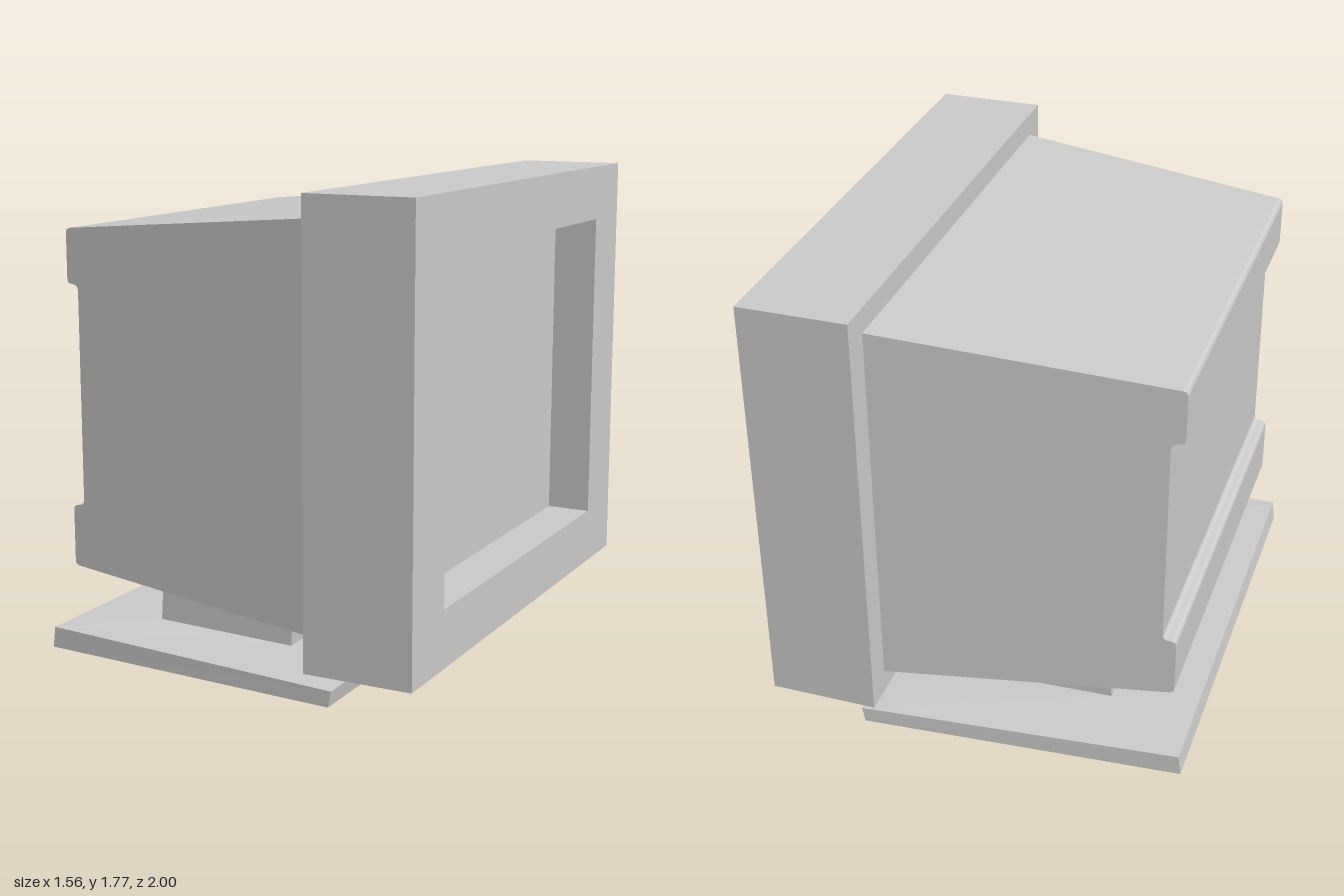
import * as THREE from 'three';

const material = new THREE.MeshStandardMaterial({ color: 0xcccccc, flatShading: true });

function addMesh(group, name, geometry) {
  const mesh = new THREE.Mesh(geometry, material);
  mesh.name = name;
  group.add(mesh);
  return mesh;
}

// Skin stacked four-cornered rings, bottom to top, each {back, front} = [x, y, half width]
function loftRings(rings) {
  const positions = [];
  const index = [];
  for (const { back, front } of rings) {
    for (const [[x, y, w], side] of [[back, 1], [front, 1], [front, -1], [back, -1]]) {
      positions.push(x, y, side * w);
    }
  }
  for (let r = 0; r < rings.length - 1; r++) {
    for (let i = 0; i < 4; i++) {
      const a = r * 4 + i;
      const b = r * 4 + ((i + 1) % 4);
      index.push(a, b, b + 4, a, b + 4, a + 4);
    }
  }
  const t = (rings.length - 1) * 4;
  index.push(0, 3, 2, 0, 2, 1, t, t + 1, t + 2, t, t + 2, t + 3);
  const geometry = new THREE.BufferGeometry();
  geometry.setAttribute('position', new THREE.Float32BufferAttribute(positions, 3));
  geometry.setIndex(index);
  const flat = geometry.toNonIndexed();
  flat.computeVertexNormals();
  return flat;
}

function rectangle(PathType, halfWidth, low, high) {
  return new PathType([
    [-halfWidth, low], [halfWidth, low], [halfWidth, high], [-halfWidth, high],
  ].map(([x, y]) => new THREE.Vector2(x, y)));
}

export function createModel() {
  const monitor = new THREE.Group();
  monitor.name = 'monitor';

  // Deep front frame with its screen opening, facing +x
  const frame = rectangle(THREE.Shape, 1, 0.13, 1.77);
  frame.holes.push(rectangle(THREE.Path, 0.74, 0.345, 1.56));
  const frameGeometry = new THREE.ExtrudeGeometry(frame, { depth: 0.41, bevelEnabled: false });
  frameGeometry.rotateY(Math.PI / 2);
  frameGeometry.translate(0.372, 0, 0);
  addMesh(monitor, 'screenFrame', frameGeometry);

  // Recessed flat screen
  const screenGeometry = new THREE.PlaneGeometry(1.48, 1.215);
  screenGeometry.rotateY(Math.PI / 2);
  addMesh(monitor, 'screen', screenGeometry).position.set(0.61, 0.9525, 0);

  // Rear housing: side profile with a shallow back recess, narrowed toward the back
  const profile = [
    [0.372, 0.22], [0.372, 1.68], [-0.708, 1.59], [-0.72, 1.585], [-0.725, 1.572],
    [-0.725, 1.4], [-0.721, 1.389], [-0.71, 1.385], [-0.69, 1.382], [-0.679, 1.375],
    [-0.675, 1.36], [-0.675, 0.565], [-0.679, 0.556], [-0.69, 0.549], [-0.71, 0.546],
    [-0.721, 0.541], [-0.725, 0.53], [-0.725, 0.325], [-0.72, 0.315], [-0.708, 0.31],
  ].map(([x, y]) => new THREE.Vector2(x, y));
  const housing = new THREE.ExtrudeGeometry(new THREE.Shape(profile), { depth: 2, bevelEnabled: false });
  housing.translate(0, 0, -1);
  const p = housing.attributes.position;
  for (let i = 0; i < p.count; i++) {
    p.setZ(i, p.getZ(i) * (0.89 + (p.getX(i) - 0.372) * 0.1));
  }
  housing.computeVertexNormals();
  addMesh(monitor, 'rearHousing', housing);

  // Foot plate, rising gently to the neck
  addMesh(monitor, 'footPlate', loftRings([
    { back: [-0.782, 0, 0.86], front: [0.438, 0, 0.943] },
    { back: [-0.772, 0.08, 0.86], front: [0.45, 0.06, 0.943] },
    { back: [-0.447, 0.09, 0.62], front: [0.117, 0.072, 0.62] },
  ]));

  // Neck, leaning slightly and meeting the sloped underside of the housing
  addMesh(monitor, 'neck', loftRings([
    { back: [-0.447, 0.085, 0.62], front: [0.117, 0.068, 0.62] },
    { back: [-0.434, 0.29, 0.62], front: [0.127, 0.243, 0.62] },
  ]));

  return monitor;
}
